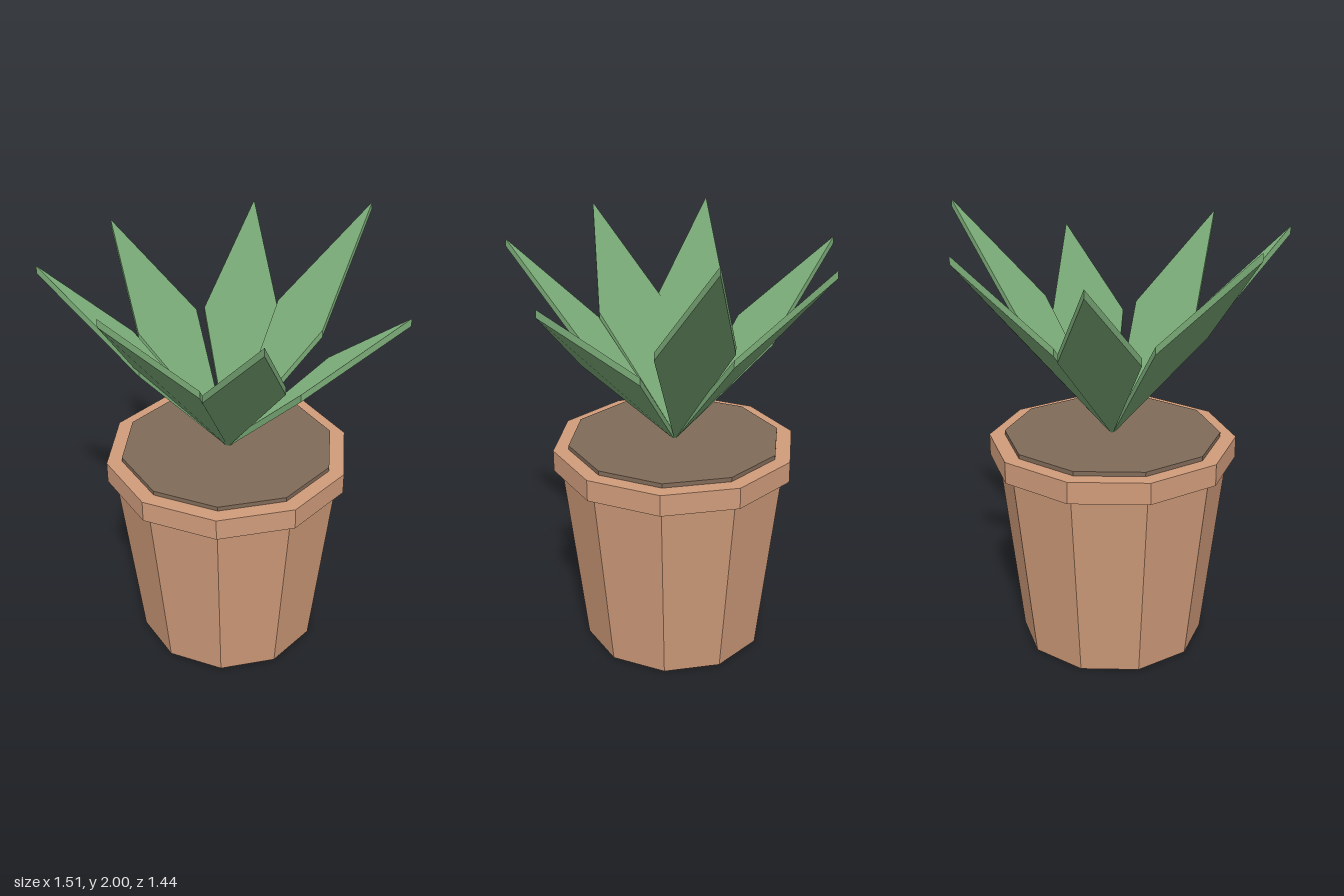
import * as THREE from 'three';

const terracotta = new THREE.MeshStandardMaterial({ color: 0xcf9b7a });
const soilBrown = new THREE.MeshStandardMaterial({ color: 0x806a58 });
const leafGreen = new THREE.MeshStandardMaterial({ color: 0x79a976 });

const SIDES = 10;
const BASE_Y = 0.98;

// Ten-sided drum with faceted normals and a corner on the x axis
function drum(name, rTop, rBottom, y0, y1, material) {
  const geo = new THREE.CylinderGeometry(rTop, rBottom, y1 - y0, SIDES, 1, false, Math.PI / 2).toNonIndexed();
  geo.computeVertexNormals();
  const mesh = new THREE.Mesh(geo, material);
  mesh.name = name;
  mesh.position.y = (y0 + y1) / 2;
  return mesh;
}

// Kite-shaped blade rising along +x, creased down the middle, with vertical edges
function leafGeometry(reach, rise) {
  const thick = 0.035, half = 0.173, mid = reach * 0.507;
  const tipY = rise - thick;
  const cornerY = tipY * 0.507 + 0.035;
  const outline = [[0, 0, 0], [mid, cornerY, half], [reach, tipY, 0], [mid, cornerY, -half]];
  const low = outline.map(p => new THREE.Vector3(...p));
  const high = low.map(p => p.clone().setY(p.y + thick));

  const tris = [
    high[0], high[1], high[2], high[0], high[2], high[3],
    low[0], low[2], low[1], low[0], low[3], low[2],
  ];
  for (let i = 0; i < 4; i++) {
    const j = (i + 1) % 4;
    tris.push(low[i], low[j], high[j], low[i], high[j], high[i]);
  }
  const geo = new THREE.BufferGeometry().setFromPoints(tris);
  geo.computeVertexNormals();
  // Broad faces keep vertical normals so every leaf shades evenly
  for (let i = 0; i < 12; i++) geo.attributes.normal.setXYZ(i, 0, i < 6 ? 1 : -1, 0);
  return geo;
}

export function createModel() {
  const model = new THREE.Group();
  model.name = 'pottedPlant';

  const plant = new THREE.Group();
  plant.name = 'plantAndPot';
  plant.position.x = -0.04;
  model.add(plant);

  // Pot
  plant.add(drum('potBody', 0.522, 0.42, 0, 0.9, terracotta));
  plant.add(drum('potRim', 0.557, 0.557, 0.877, 0.975, terracotta));
  plant.add(drum('soil', 0.487, 0.487, 0.9, 0.995, soilBrown));

  // Leaves: tip x, tip z (from the stem) and tip height
  const tips = [
    [0.795, 0, 1.79],
    [0.43, -0.612, 2.0],
    [-0.17, -0.722, 1.88],
    [-0.715, -0.32, 1.848],
    [-0.667, 0.4, 1.928],
    [-0.216, 0.722, 1.928],
    [0.412, 0.622, 1.888],
  ];
  tips.forEach(([x, z, y], i) => {
    const leaf = new THREE.Mesh(leafGeometry(Math.hypot(x, z), y - BASE_Y), leafGreen);
    leaf.name = `leaf${i + 1}`;
    leaf.position.y = BASE_Y;
    leaf.rotation.y = Math.atan2(-z, x);
    plant.add(leaf);
  });

  return model;
}
